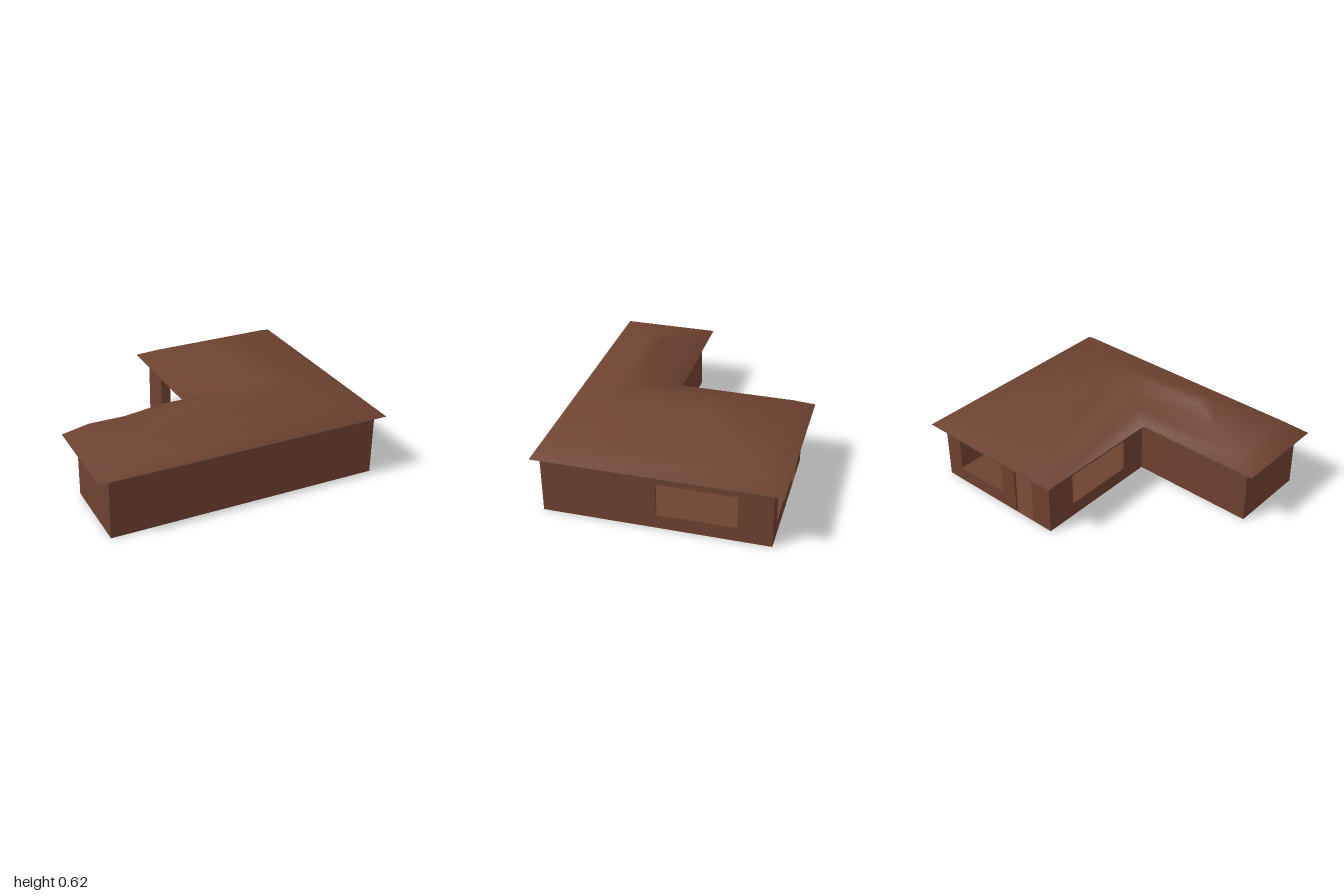
import * as THREE from 'three';

const brown = new THREE.MeshStandardMaterial({ color: 0x6e4230, side: THREE.DoubleSide });
const slate = new THREE.MeshStandardMaterial({ color: 0x4a5055, side: THREE.DoubleSide });

const EAVE = 0.42;
const THICK = 0.015;

// Six corners of an L-shaped plan, anticlockwise seen from above
function plan({ left, right, front, back, innerX, innerZ }) {
  return [[left, front], [right, front], [right, back], [innerX, back], [innerX, innerZ], [left, innerZ]];
}

// Triangles that fill one L-shaped loop, fanned from its inner corner
function capIndex(base, up) {
  const fan = [[4, 5, 0], [4, 0, 1], [4, 1, 2], [4, 2, 3]];
  return fan.flatMap(([a, b, c]) => (up ? [a, b, c] : [a, c, b]).map((i) => i + base));
}

function geometryFrom(positions, index) {
  const g = new THREE.BufferGeometry();
  g.setAttribute('position', new THREE.Float32BufferAttribute(positions, 3));
  g.setIndex(index);
  g.computeVertexNormals();
  return g;
}

function flatL(corners, y, up) {
  return geometryFrom(corners.flatMap(([x, z]) => [x, y, z]), capIndex(0, up));
}

// Stacked L-shaped loops joined by slopes and closed on top
function roofGeometry(levels) {
  const positions = levels.flatMap((l) => plan(l).flatMap(([x, z]) => [x, l.y, z]));
  const index = [];
  for (let k = 0; k < levels.length - 1; k++) {
    for (let i = 0; i < 6; i++) {
      const a = k * 6 + i, b = k * 6 + (i + 1) % 6;
      index.push(a, b, b + 6, a, b + 6, a + 6);
    }
  }
  index.push(...capIndex((levels.length - 1) * 6, true));
  return geometryFrom(positions, index);
}

// One wall from a to b; openings are [start, end, bottom, top] along it
function wall(name, a, b, openings = []) {
  const dx = b[0] - a[0], dz = b[1] - a[1];
  const length = Math.hypot(dx, dz);
  const outline = [[0, 0]];
  const holes = [];
  for (const [s, e, y0, y1] of openings) {
    if (y0 === 0) outline.push([s, 0], [s, y1], [e, y1], [e, 0]);
    else holes.push([[s, y0], [s, y1], [e, y1], [e, y0]]);
  }
  outline.push([length, 0], [length, EAVE], [0, EAVE]);
  const toPoints = (list) => list.map(([x, y]) => new THREE.Vector2(x, y));
  const shape = new THREE.Shape(toPoints(outline));
  shape.holes = holes.map((h) => new THREE.Path(toPoints(h)));
  const g = new THREE.ExtrudeGeometry(shape, { depth: THICK, bevelEnabled: false });
  g.translate(0, 0, -THICK);
  const mesh = new THREE.Mesh(g, brown);
  mesh.name = name;
  mesh.position.set(a[0], 0, a[1]);
  mesh.rotation.y = Math.atan2(-dz, dx);
  return mesh;
}

export function createModel() {
  const house = new THREE.Group();
  house.name = 'house';
  const add = (name, geometry, material) => {
    const mesh = new THREE.Mesh(geometry, material);
    mesh.name = name;
    house.add(mesh);
  };

  // Walls with windows and a back door
  const footprint = plan({ left: -0.925, right: 0.935, front: 0.76, back: -0.73, innerX: -0.04, innerZ: 0.2 });
  const sides = [
    ['frontWall'],
    ['leftWall', [[0.75, 1.27, 0.1, 0.33]]],
    ['backWall', [[0.125, 0.535, 0.1, 0.33], [0.655, 0.815, 0, 0.33]]],
    ['courtyardSideWall', [[0.22, 0.74, 0.1, 0.33]]],
    ['courtyardBackWall'],
    ['rightWall'],
  ];
  sides.forEach(([name, openings], i) => {
    house.add(wall(name, footprint[i], footprint[(i + 1) % 6], openings));
  });
  add('floor', flatL(footprint, 0, false), brown);

  // Hipped roof in three pitches with a narrow flat top
  const levels = [
    { y: EAVE, left: -1, right: 1, front: 0.8, back: -0.8, innerX: -0.11, innerZ: 0.13 },
    { y: 0.495, left: -0.84, right: 0.87, front: 0.71, back: -0.66, innerX: 0.0, innerZ: 0.2 },
    { y: 0.54, left: -0.63, right: 0.69, front: 0.59, back: -0.48, innerX: 0.14, innerZ: 0.28 },
    { y: 0.615, left: -0.4, right: 0.5, front: 0.46, back: -0.27, innerX: 0.3, innerZ: 0.36 },
  ];
  add('roof', roofGeometry(levels), brown);
  add('eaveUnderside', flatL(plan(levels[0]), EAVE - 0.002, false), slate);

  return house;
}
